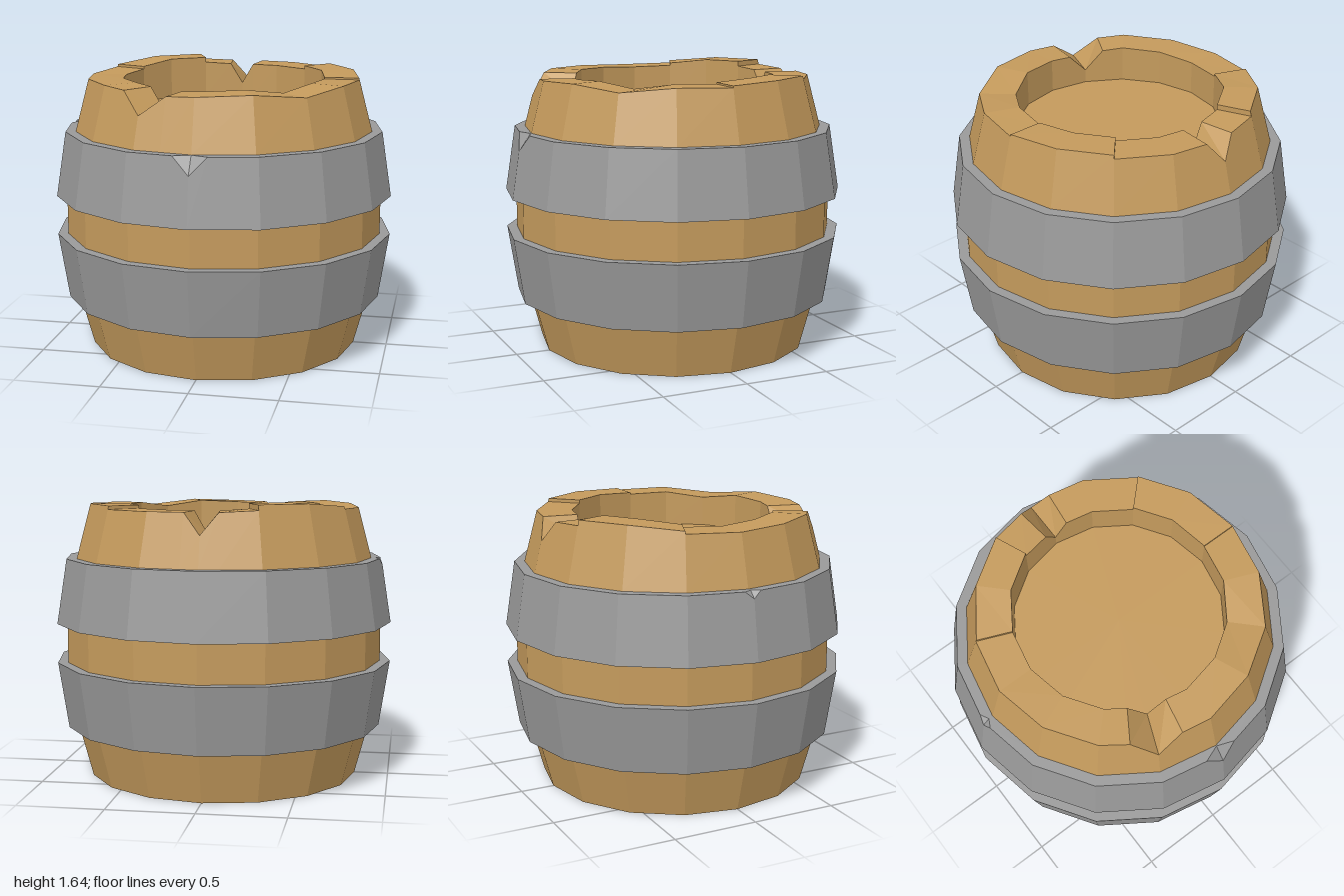
import * as THREE from 'three';

const SIDES = 16, STEP = 360 / SIDES;
const rad = THREE.MathUtils.degToRad;

// Point at an angle (0 = front, 90 = +x) on a regular 16-gon of corner radius r
function onPolygon(deg, r, y) {
  const off = (((deg % STEP) + STEP) % STEP) - STEP / 2;
  const k = r * Math.cos(rad(STEP / 2)) / Math.cos(rad(off));
  return [k * Math.sin(rad(deg)), y, k * Math.cos(rad(deg))];
}

// Joins profiles placed at successive angles into a closed, flat-faced ring
function ring(columns) {
  const pos = [];
  const cols = columns.map(({ deg, profile }) => profile.map(([r, y]) => onPolygon(deg, r, y)));
  cols.forEach((a, i) => {
    const b = cols[(i + 1) % cols.length];
    for (let j = 0; j < a.length - 1; j++) {
      pos.push(...a[j], ...b[j], ...b[j + 1], ...a[j], ...b[j + 1], ...a[j + 1]);
    }
  });
  const g = new THREE.BufferGeometry();
  g.setAttribute('position', new THREE.Float32BufferAttribute(pos, 3));
  g.computeVertexNormals();
  return g;
}

// Rim height by angle; a repeated angle is a step between staves, 1.48 is a V notch
const RIM = [
  [0, 1.595], [22.5, 1.605], [45, 1.575], [67.5, 1.605], [90, 1.6], [90, 1.61],
  [112.5, 1.62], [135, 1.62], [135, 1.6], [157.5, 1.6], [173, 1.6], [180, 1.48],
  [187, 1.6], [202.5, 1.61], [202.5, 1.64], [225, 1.64], [247.5, 1.615], [247.5, 1.6],
  [270, 1.595], [292.5, 1.605], [315, 1.61], [327, 1.6], [337.5, 1.48], [348, 1.59],
];

// Wooden body with a recess in both ends
function bodyGeometry() {
  return ring(RIM.map(([deg, y]) => ({
    deg,
    profile: [
      [0, 0.2], [0.6, 0.2], [0.6, 0], [0.8, 0], [0.88, 0.3], [0.94, 0.69], [0.94, 0.92],
      [0.88, 1.3], [0.8 + (1.6 - y) * 0.267, y], [0.595, y], [0.595, 1.4], [0, 1.4],
    ],
  })));
}

// Hoop from (r0, y0) to (r1, y1); each dent pushes in a piece of the top edge
function hoopGeometry(r0, y0, r1, y1, dents = []) {
  const plain = [];
  for (let i = 0; i < SIDES; i++) plain.push({ deg: i * STEP });
  for (const d of dents) {
    plain[d.deg / STEP].dent = d;
    plain.push({ deg: (d.deg - d.half + 360) % 360 }, { deg: d.deg + d.half });
  }
  plain.sort((a, b) => a.deg - b.deg);
  return ring(plain.map(({ deg, dent }) => {
    const midY = dent ? dent.y : y1;
    const midR = r0 + (r1 - r0) * (midY - y0) / (y1 - y0);
    const topR = dent ? dent.r : r1;
    return {
      deg,
      profile: [[0.87, y0], [r0, y0], [midR, midY], [topR, y1], [0.87, y1], [0.87, y0]],
    };
  }));
}

export function createModel() {
  const wood = new THREE.MeshStandardMaterial({ color: 0xc49a5c, flatShading: true });
  wood.name = 'wood';
  const iron = new THREE.MeshStandardMaterial({ color: 0x999999, flatShading: true });
  iron.name = 'iron';

  const group = new THREE.Group();
  group.name = 'barrel';
  const add = (name, geometry, material) => {
    const mesh = new THREE.Mesh(geometry, material);
    mesh.name = name;
    group.add(mesh);
  };

  add('body', bodyGeometry(), wood);
  add('lowerHoop', hoopGeometry(0.94, 0.3, 1, 0.69), iron);
  add('upperHoop', hoopGeometry(1, 0.92, 0.94, 1.3, [
    { deg: 0, half: 6, y: 1.2, r: 0.885 },
    { deg: 270, half: 3, y: 1.26, r: 0.905 },
  ]), iron);
  return group;
}
